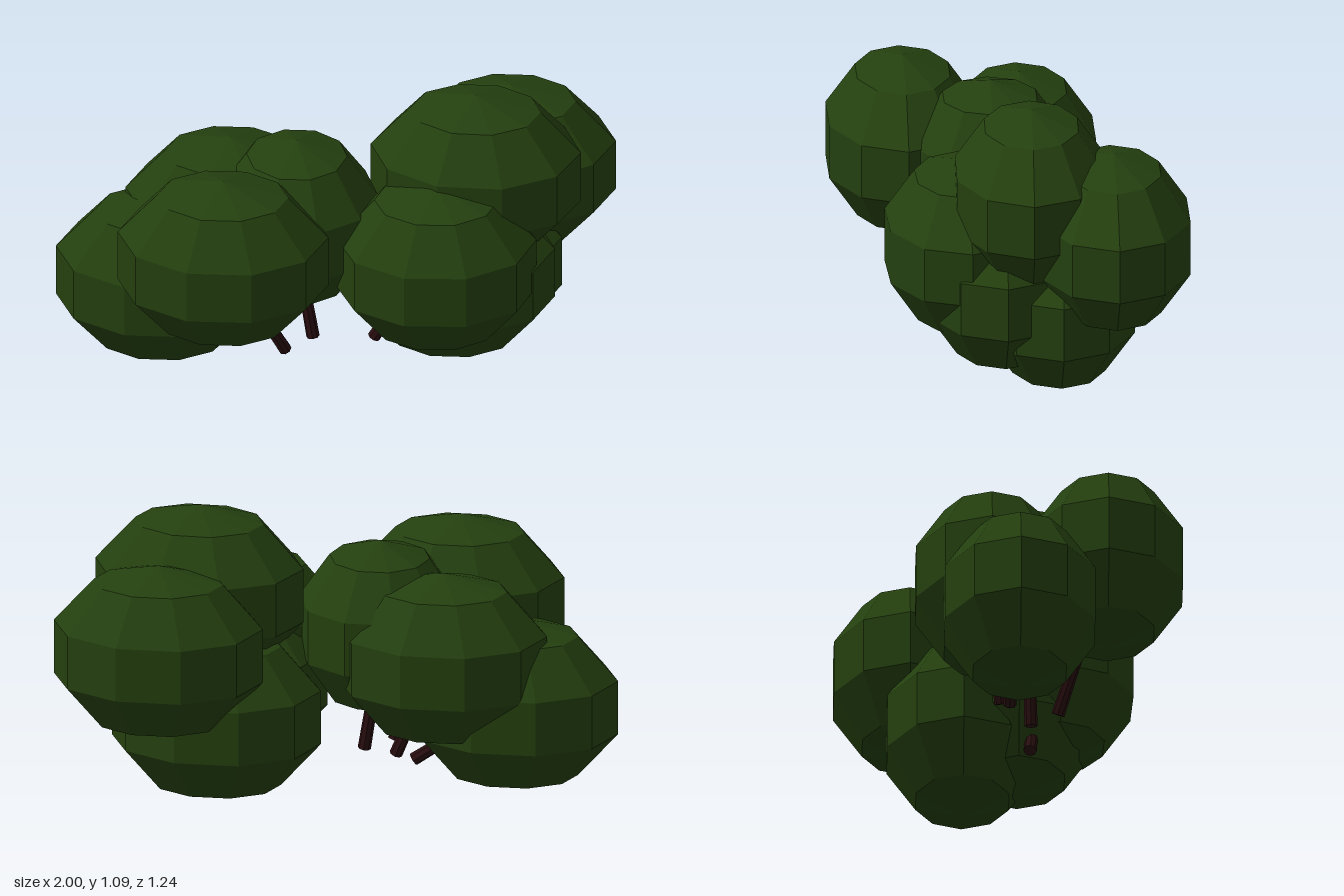
import * as THREE from 'three';

export function createModel() {
  const root = new THREE.Group();
  root.name = 'bush';

  const leafGreen = new THREE.MeshStandardMaterial({ color: 0x24400f, flatShading: true });
  leafGreen.name = 'leafGreen';
  const barkBrown = new THREE.MeshStandardMaterial({ color: 0x2a0e10, flatShading: true });
  barkBrown.name = 'barkBrown';

  // Leaf clumps: low-poly ball, 10 sides and 5 bands, flattened front to back
  const ball = new THREE.SphereGeometry(1, 10, 5);
  const clumps = [
    // name, x, y, z, yaw, x radius
    ['leftLowClump', -0.62, 0.355, 0.03, 0, 0.4],
    ['leftFrontClump', -0.38, 0.625, 0.35, 0, 0.4],
    ['leftBackClump', -0.375, 0.55, -0.07, 0, 0.4],
    ['middleClump', -0.13, 0.62, 0.05, 0, 0.31],
    ['rightFrontClump', 0.38, 0.525, 0.18, 0.04, 0.38],
    ['rightTopClump', 0.51, 0.765, -0.06, -0.03, 0.4],
    ['rightBackClump', 0.62, 0.63, -0.35, 0, 0.4],
    ['rightLowClump', 0.435, 0.333, -0.16, 0, 0.4],
    ['rightInnerClump', 0.43, 0.41, 0.04, 0, 0.39],
  ];
  for (const [name, x, y, z, yaw, rx] of clumps) {
    const clump = new THREE.Mesh(ball, leafGreen);
    clump.name = name;
    clump.position.set(x, y, z);
    clump.rotation.y = yaw;
    clump.scale.set(rx, 0.328, 0.3);
    root.add(clump);
  }

  // Stems: short cylinders reaching up into the leaves
  const up = new THREE.Vector3(0, 1, 0);
  const stems = [
    [[-0.26, 0.13, 0.0], [-0.5, 0.29, 0.02]],
    [[-0.165, 0.135, 0.175], [-0.28, 0.4, 0.27]],
    [[-0.07, 0.135, 0.08], [-0.12, 0.45, 0.07]],
    [[-0.2, 0.16, -0.03], [-0.3, 0.4, -0.07]],
    [[0.15, 0.14, 0.08], [0.27, 0.36, 0.1]],
  ];
  for (const [from, to] of stems) {
    const a = new THREE.Vector3(...from);
    const dir = new THREE.Vector3(...to).sub(a);
    const stem = new THREE.Mesh(new THREE.CylinderGeometry(0.02, 0.024, dir.length(), 8), barkBrown);
    stem.name = 'stem';
    stem.position.copy(a).addScaledVector(dir, 0.5);
    stem.quaternion.setFromUnitVectors(up, dir.clone().normalize());
    root.add(stem);
  }

  return root;
}
